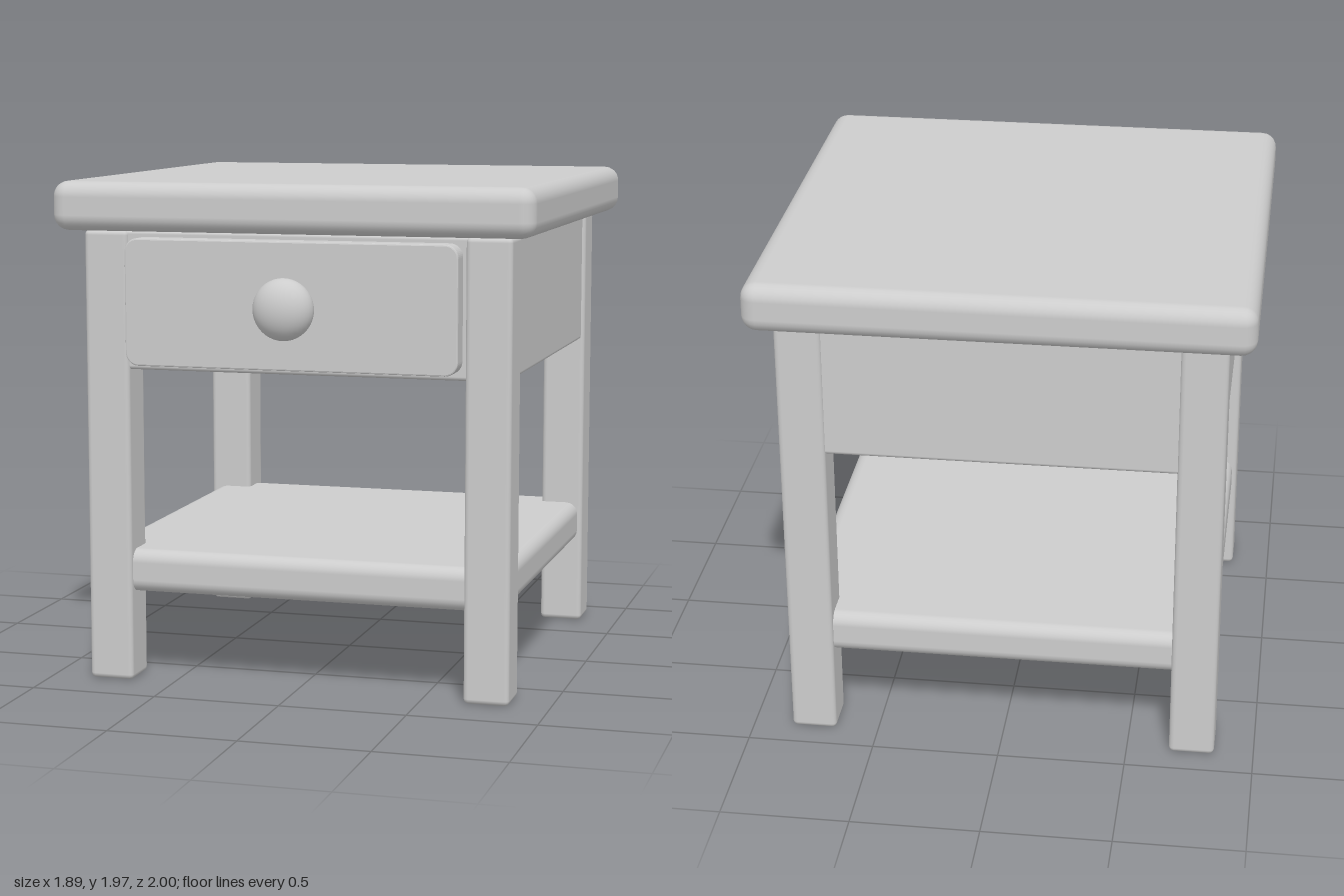
import * as THREE from 'three';
import { RoundedBoxGeometry } from 'three/addons/geometries/RoundedBoxGeometry.js';

export function createModel() {
  const model = new THREE.Group();
  model.name = 'bedsideTable';
  const paint = new THREE.MeshStandardMaterial({ color: 0xcccccc });
  paint.name = 'light grey';

  const add = (name, geometry, x = 0, y = 0, z = 0) => {
    const mesh = new THREE.Mesh(geometry, paint);
    mesh.name = name;
    mesh.position.set(x, y, z);
    model.add(mesh);
    return mesh;
  };

  // Rounded block given by its min/max on each axis
  const block = (name, [x0, x1], [y0, y1], [z0, z1], radius, segments = 3) =>
    add(name, new RoundedBoxGeometry(x1 - x0, y1 - y0, z1 - z0, segments, radius),
      (x0 + x1) / 2, (y0 + y1) / 2, (z0 + z1) / 2);

  block('tabletop', [-0.945, 0.945], [1.775, 1.965], [-1, 0.89], 0.06);
  block('drawerCase', [-0.83, 0.83], [1.235, 1.775], [-0.88, 0.775], 0.015, 2);
  block('shelf', [-0.825, 0.825], [0.35, 0.52], [-0.875, 0.77], 0.05);

  // Four square legs
  for (const side of [-1, 1]) {
    const x = side > 0 ? [0.667, 0.845] : [-0.845, -0.667];
    const label = side > 0 ? 'Left' : 'Right';
    block('front' + label + 'Leg', x, [0, 1.775], [0.614, 0.79], 0.02, 2);
    block('back' + label + 'Leg', x, [0, 1.775], [-0.895, -0.718], 0.02, 2);
  }

  // Drawer front: rounded rectangle with a fine bevel
  const bevel = 0.006, w = 0.655 - bevel, h = 0.245 - bevel, r = 0.045;
  const panel = new THREE.Shape();
  panel.absarc(w - r, h - r, r, 0, Math.PI / 2);
  panel.absarc(-w + r, h - r, r, Math.PI / 2, Math.PI);
  panel.absarc(-w + r, -h + r, r, Math.PI, Math.PI * 1.5);
  panel.absarc(w - r, -h + r, r, Math.PI * 1.5, Math.PI * 2);
  panel.closePath();
  add('drawerFront', new THREE.ExtrudeGeometry(panel, {
    depth: 0.09, bevelEnabled: true, bevelSize: bevel, bevelThickness: bevel,
    bevelSegments: 2, curveSegments: 6,
  }), 0, 1.505, 0.855 - 0.09 - bevel);

  // Flattened round knob
  const knob = add('knob', new THREE.SphereGeometry(0.118, 32, 20), 0, 1.5, 0.918);
  knob.scale.z = 0.082 / 0.118;

  return model;
}
